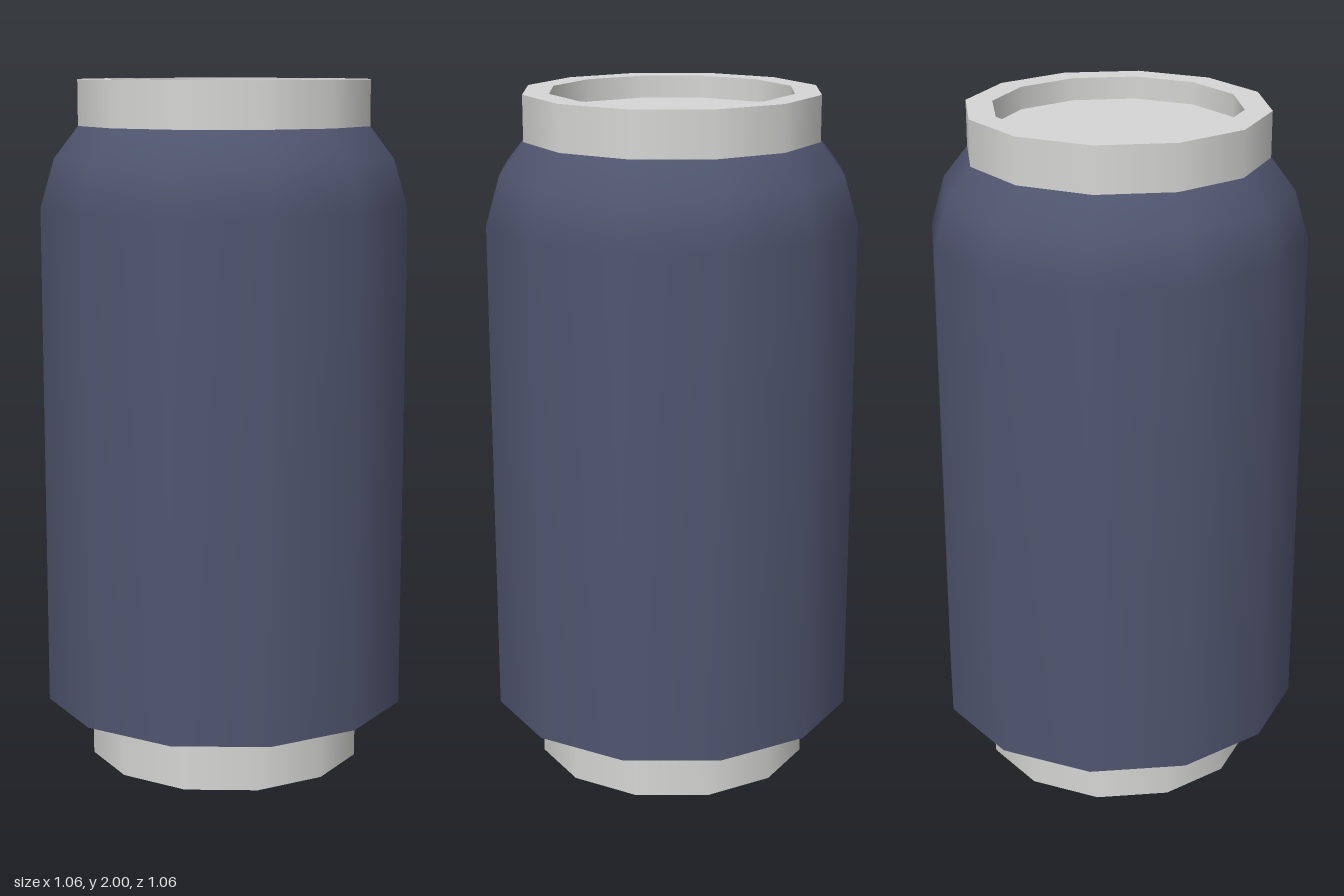
import * as THREE from 'three';

const SIDES = 12;
const TURN = Math.PI / 18; // the polygon is turned ten degrees

export function createModel() {
  const can = new THREE.Group();
  can.name = 'drinkCan';

  const paint = new THREE.MeshStandardMaterial({ color: 0x50556f });
  paint.name = 'slate blue paint';
  const metal = new THREE.MeshStandardMaterial({ color: 0xd6d6d5 });
  metal.name = 'light grey metal';

  // Each profile runs [radius, height] with its outside on the right
  function addBand(name, profile, material) {
    const points = profile.map(([r, y]) => new THREE.Vector2(r, y));
    const mesh = new THREE.Mesh(new THREE.LatheGeometry(points, SIDES, TURN), material);
    mesh.name = name;
    can.add(mesh);
  }

  // Painted wall with its rounded shoulder
  addBand('body', [[0.538, 0.18], [0.538, 1.64], [0.497, 1.78], [0.427, 1.87]], paint);

  // Foot: separate bands keep the edges between them sharp
  addBand('baseBottom', [[0, 0], [0.406, 0]], metal);
  addBand('baseWall', [[0.406, 0], [0.406, 0.14]], metal);
  addBand('baseTaper', [[0.406, 0.14], [0.538, 0.18]], metal);

  // Rim and sunken lid
  addBand('rimWall', [[0.427, 1.87], [0.427, 2]], metal);
  addBand('rimTop', [[0.427, 2], [0.351, 2]], metal);
  addBand('rimInnerWall', [[0.351, 2], [0.351, 1.935]], metal);
  addBand('lid', [[0.351, 1.935], [0, 1.935]], metal);

  return can;
}
